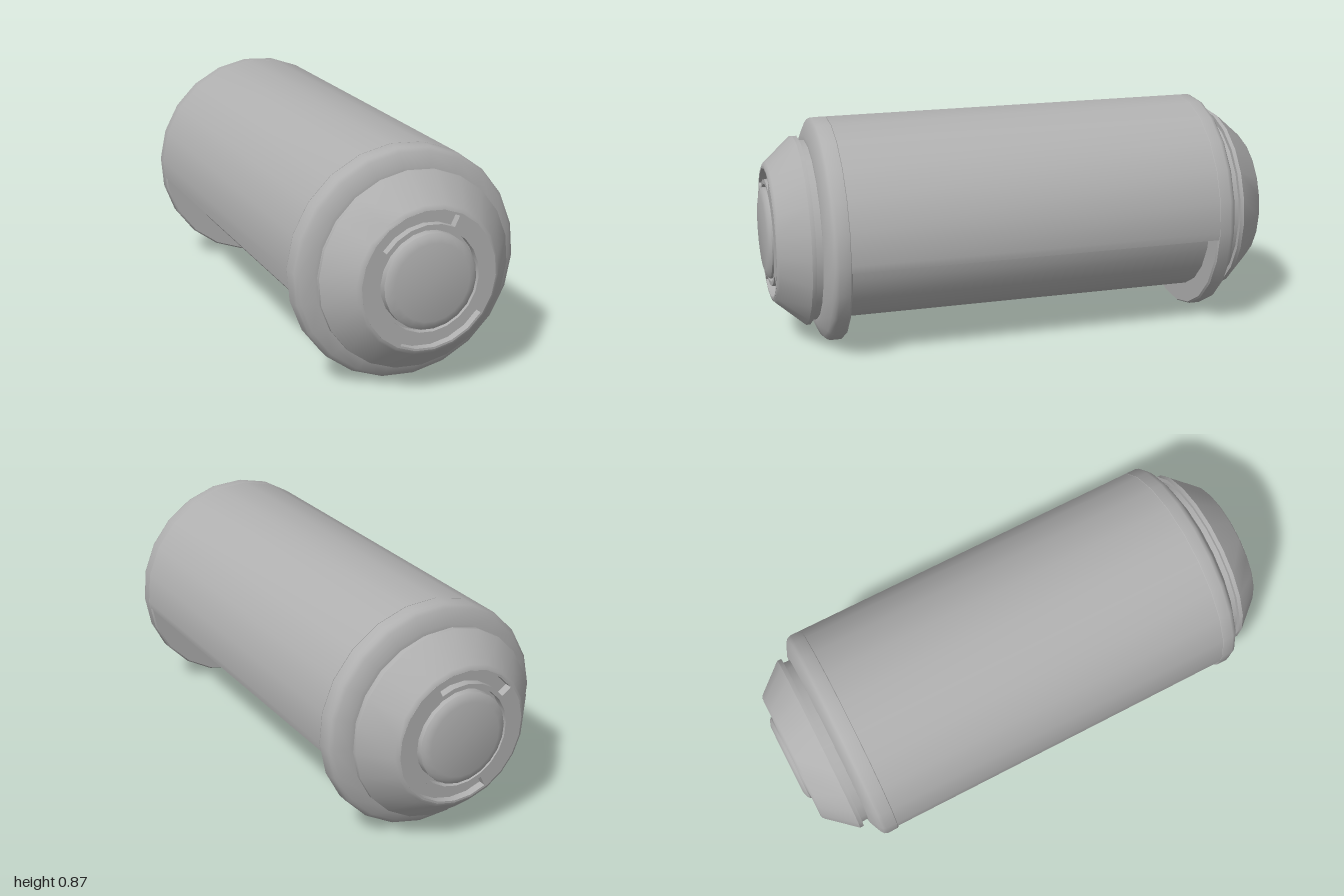
import * as THREE from 'three';
import { toCreasedNormals } from 'three/addons/utils/BufferGeometryUtils.js';

const SIDES = 22;
const STEP = (Math.PI * 2) / SIDES;
const FIRST = THREE.MathUtils.degToRad(95); // angle of one polygon corner
const AXIS_Y = 0.437;

// Points along a 22-sided polygon between two angles (radians)
function arc(r, a0, a1) {
  const at = (a) => {
    const k = Math.floor((a - FIRST) / STEP + 1e-6);
    const off = a - FIRST - (k + 0.5) * STEP;
    const rr = (r * Math.cos(STEP / 2)) / Math.cos(off);
    return new THREE.Vector2(rr * Math.cos(a), rr * Math.sin(a));
  };
  const pts = [at(a0)];
  for (let k = Math.ceil((a0 - FIRST) / STEP + 0.01); FIRST + k * STEP < a1 - 0.01; k++) pts.push(at(FIRST + k * STEP));
  pts.push(at(a1));
  return pts;
}

const ringPoints = (r) => arc(r, FIRST, FIRST + Math.PI * 2).slice(0, -1);

// Outline of a curved bar between two radii
function band(r0, r1, a0, a1, b0 = a0, b1 = a1) {
  return [...arc(r1, a0, a1), ...arc(r0, b0, b1).reverse()];
}

// Profile of [radius, z] turned around the z axis
function turned(profile) {
  const g = new THREE.LatheGeometry(profile.map(([r, z]) => new THREE.Vector2(r, z)), SIDES, Math.PI / 2 + FIRST);
  return g.rotateX(Math.PI / 2);
}

function extruded(shape, z0, z1) {
  return new THREE.ExtrudeGeometry(shape, { depth: z1 - z0, bevelEnabled: false }).translate(0, 0, z0);
}

// Mirror in z and restore the corner order
function mirrorZ(geometry) {
  const g = geometry.index ? geometry.toNonIndexed() : geometry;
  g.scale(1, 1, -1);
  const p = g.attributes.position;
  const a = new THREE.Vector3(), b = new THREE.Vector3();
  for (let i = 0; i < p.count; i += 3) {
    a.fromBufferAttribute(p, i);
    b.fromBufferAttribute(p, i + 2);
    p.setXYZ(i, b.x, b.y, b.z);
    p.setXYZ(i + 2, a.x, a.y, a.z);
  }
  return g;
}

export function createModel() {
  const model = new THREE.Group();
  const grey = new THREE.MeshStandardMaterial({ color: 0xb0b0b0 });
  grey.name = 'grey';
  const rad = THREE.MathUtils.degToRad;

  const add = (parent, name, geometry, crease = 0.6) => {
    const mesh = new THREE.Mesh(toCreasedNormals(geometry, crease), grey);
    mesh.name = name;
    parent.add(mesh);
  };

  // Inner cylinder, visible through the opening underneath
  add(model, 'core', turned([[0.352, -0.86], [0.352, 0.86]]));

  // Upper shell, open below
  const lip = rad(7), innerLip = rad(8.7);
  const shell = new THREE.Shape(band(0.345, 0.438, -lip, Math.PI + lip, -innerLip, Math.PI + innerLip));
  add(model, 'shell', extruded(shell, -0.73, 0.73));

  for (const [side, s] of [['front', 1], ['back', -1]]) {
    const end = new THREE.Group();
    end.name = side + 'End';
    model.add(end);
    const put = (name, g, crease) => add(end, name, s < 0 ? mirrorZ(g) : g, crease);

    // Full collar closing the shell
    put('collar', turned([
      [0.345, 0.82], [0.345, 0.725], [0.432, 0.725], [0.438, 0.732], [0.438, 0.775],
      [0.433, 0.788], [0.42, 0.798], [0.37, 0.82], [0.345, 0.82],
    ]), 0.7);

    // Conical end cap
    put('cap', turned([
      [0.345, 0.847], [0.37, 0.847], [0.37, 0.863], [0.276, 0.97], [0.268, 0.977], [0.258, 0.98],
    ]));

    // Flat cap face with a central hole and two curved slots
    const face = new THREE.Shape(ringPoints(0.26));
    face.holes.push(new THREE.Path(ringPoints(0.191)));
    for (const a of [64, 244]) face.holes.push(new THREE.Path(band(0.208, 0.252, rad(a), rad(a + 80))));
    put('capFace', extruded(face, 0.94, 0.98));
    put('slotFloor', turned([[0.26, 0.95], [0.17, 0.95]]));

    // Round button
    put('button', turned([
      [0.178, 0.945], [0.178, 0.985], [0.168, 0.993], [0.145, 1.0], [0, 1.0],
    ]), 0.7);
  }

  model.children.forEach((part) => { part.position.y = AXIS_Y; });
  return model;
}
